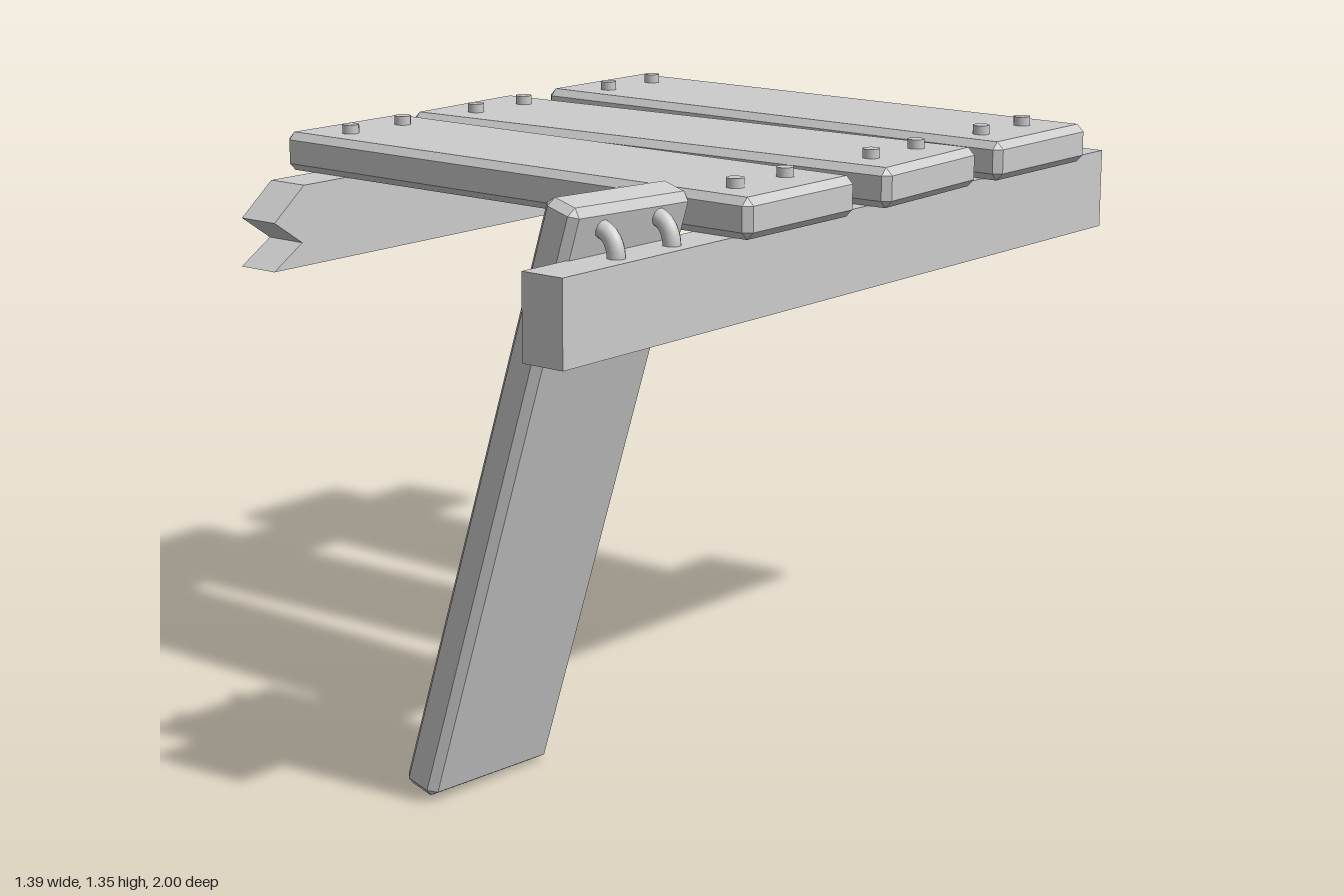
import * as THREE from 'three';
import { ConvexGeometry } from 'three/addons/geometries/ConvexGeometry.js';

const material = new THREE.MeshStandardMaterial({ color: 0xcccccc });

function mesh(name, geometry, x = 0, y = 0, z = 0) {
  const m = new THREE.Mesh(geometry, material);
  m.name = name;
  m.position.set(x, y, z);
  return m;
}

// Box with every edge chamfered by b
function chamferedBox(w, h, d, b) {
  const points = [];
  for (const sx of [-1, 1]) for (const sy of [-1, 1]) for (const sz of [-1, 1]) {
    const [x, y, z] = [w / 2, h / 2, d / 2];
    points.push(
      new THREE.Vector3(sx * x, sy * (y - b), sz * (z - b)),
      new THREE.Vector3(sx * (x - b), sy * y, sz * (z - b)),
      new THREE.Vector3(sx * (x - b), sy * (y - b), sz * z));
  }
  return new ConvexGeometry(points);
}

export function createModel() {
  const model = new THREE.Group();
  model.name = 'brokenDock';

  // Whole beam, and the beam with a jagged, snapped front end
  model.add(mesh('beam', new THREE.BoxGeometry(0.107, 0.187, 2), 0.582, 1.143, 0));
  const profile = new THREE.Shape([
    [-1, 1.05], [0.69, 1.05], [0.6, 1.105], [0.685, 1.162], [0.59, 1.237], [-1, 1.237],
  ].map(([z, y]) => new THREE.Vector2(z, y)));
  const broken = new THREE.ExtrudeGeometry(profile, { depth: 0.107, bevelEnabled: false });
  broken.rotateY(-Math.PI / 2);
  model.add(mesh('brokenBeam', broken, -0.504, 0, 0));

  // Deck planks, each held by two nails at either end
  const plankGeometry = chamferedBox(1.38, 0.09, 0.38, 0.017);
  const nailGeometry = new THREE.CylinderGeometry(0.02, 0.02, 0.06, 10);
  const planks = [
    { z: -0.648, turn: 0, left: -0.638, right: -0.638 },
    { z: -0.165, turn: 0.046, left: -0.138, right: -0.198 },
    { z: 0.283, turn: -0.006, left: 0.293, right: 0.293 },
  ];
  for (const p of planks) {
    const plank = mesh('deckPlank', plankGeometry, 0, 1.281, p.z);
    plank.rotation.y = p.turn;
    model.add(plank);
    for (const dz of [-0.087, 0.087]) {
      model.add(mesh('nail', nailGeometry, -0.56, 1.317, p.left + dz));
      model.add(mesh('nail', nailGeometry, 0.578, 1.317, p.right + dz));
    }
  }

  // Loose plank hanging down from the whole beam
  const lean = THREE.MathUtils.degToRad(-16);
  const hanging = mesh('hangingPlank', chamferedBox(0.09, 1.38, 0.38, 0.017), 0.332, 0.684, 0.712);
  hanging.rotation.set(-0.036, 0, lean);
  model.add(hanging);

  // Nails bent over between the hanging plank and the beam
  const bend = new THREE.CatmullRomCurve3([
    [0.49, 1.31], [0.54, 1.297], [0.573, 1.28], [0.588, 1.25], [0.588, 1.2],
  ].map(([x, y]) => new THREE.Vector3(x, y, 0)));
  const bentGeometry = new THREE.TubeGeometry(bend, 14, 0.02, 10);
  for (const z of [0.605, 0.782]) {
    model.add(mesh('bentNail', bentGeometry, 0, 0, z));
    const head = mesh('bentNailHead', nailGeometry, 0.473, 1.317, z - 0.004);
    head.rotation.z = Math.PI / 2 + lean;
    model.add(head);
  }
  return model;
}
